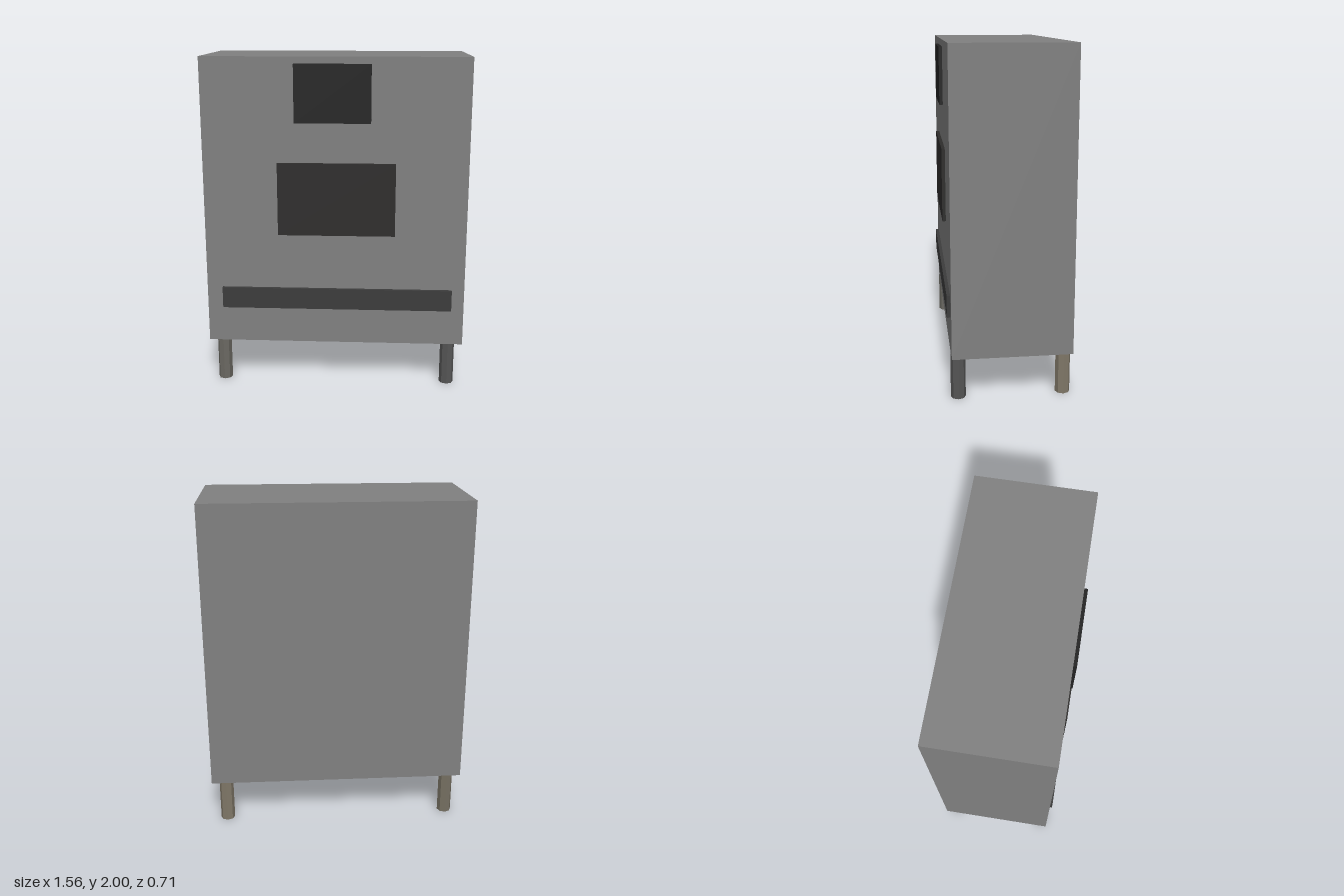
import * as THREE from 'three';

// Box given by its extents on each axis
function block(name, [x0, x1], [y0, y1], [z0, z1], color) {
  const mesh = new THREE.Mesh(
    new THREE.BoxGeometry(x1 - x0, y1 - y0, z1 - z0),
    new THREE.MeshStandardMaterial({ color })
  );
  mesh.name = name;
  mesh.position.set((x0 + x1) / 2, (y0 + y1) / 2, (z0 + z1) / 2);
  return mesh;
}

export function createModel() {
  const model = new THREE.Group();
  model.name = 'cabinet';
  const bottom = 0.265, front = 0.335;

  // Cabinet body
  model.add(block('body', [-0.783, 0.78], [bottom, 2], [-0.355, front], 0x808080));

  // Raised panels on the front
  const depth = [front, 0.355];
  model.add(block('upperPanel', [-0.238, 0.208], [1.623, 1.96], depth, 0x222222));
  model.add(block('middlePanel', [-0.341, 0.355], [0.953, 1.388], depth, 0x2e2d2c));
  model.add(block('lowerPanel', [-0.688, 0.704], [0.487, 0.616], depth, 0x3c3c3c));

  // Octagonal legs
  const legGeometry = new THREE.CylinderGeometry(0.043, 0.043, bottom, 8);
  const legs = [
    ['frontRightLeg', -0.698, 0.295, 0x6b6962],
    ['frontLeftLeg', 0.692, 0.295, 0x555555],
    ['backRightLeg', -0.698, -0.312, 0x767062],
    ['backLeftLeg', 0.692, -0.312, 0x807868],
  ];
  for (const [name, x, z, color] of legs) {
    const leg = new THREE.Mesh(legGeometry, new THREE.MeshStandardMaterial({ color, flatShading: true }));
    leg.name = name;
    leg.position.set(x, bottom / 2, z);
    model.add(leg);
  }
  return model;
}
